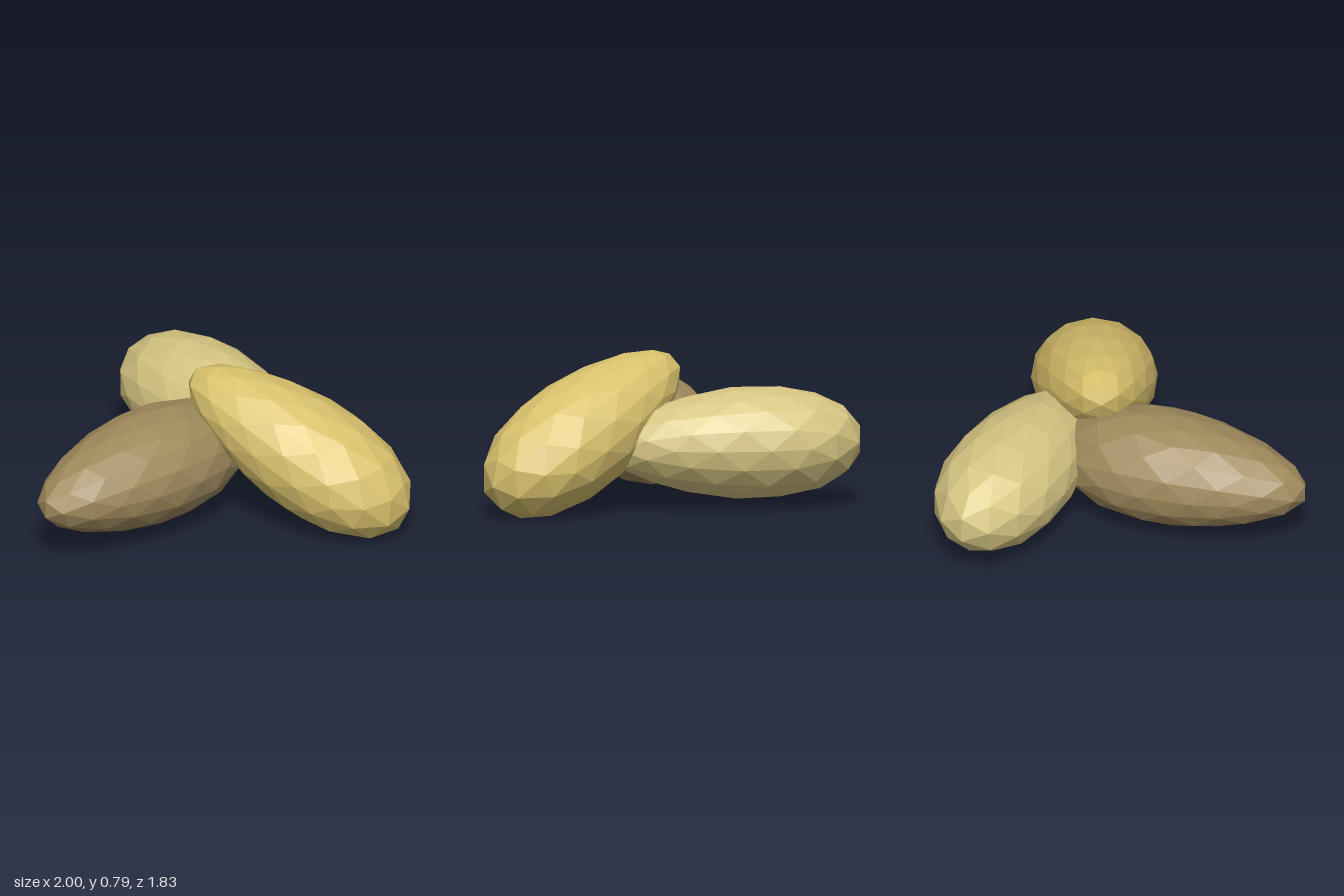
import * as THREE from 'three';

const HALF_LENGTH = 0.68, HALF_WIDTH = 0.322, HALF_HEIGHT = 0.288;

// Faceted kernel along z: blunt towards +z, tapering towards -z
function kernelGeometry() {
  const geo = new THREE.IcosahedronGeometry(1, 2);
  const pos = geo.attributes.position;
  for (let i = 0; i < pos.count; i++) {
    const z = pos.getZ(i);
    const taper = 1 + 0.2 * z;
    pos.setXYZ(i, pos.getX(i) * taper * HALF_WIDTH, pos.getY(i) * taper * HALF_HEIGHT, z * HALF_LENGTH);
  }
  geo.computeVertexNormals();
  return geo;
}

export function createModel() {
  const group = new THREE.Group();
  const geo = kernelGeometry();

  // centre, direction of the blunt end, colour
  const kernels = [
    { name: 'paleKernel', at: [-0.335, 0.35, -0.525], dir: [-1, 0, 0.02], color: 0xd6c582 },
    { name: 'brownKernel', at: [0.035, 0.348, 0.24], dir: [-0.14, 0, -1], color: 0x9f895c },
    { name: 'goldenKernel', at: [0.44, 0.433, -0.487], dir: [0.775, -0.45, -0.455], color: 0xd8c06c },
  ];
  for (const { name, at, dir, color } of kernels) {
    const mesh = new THREE.Mesh(geo, new THREE.MeshStandardMaterial({ color, flatShading: true }));
    mesh.name = name;
    mesh.position.set(...at);
    mesh.lookAt(new THREE.Vector3(...dir).add(mesh.position));
    group.add(mesh);
  }
  return group;
}
